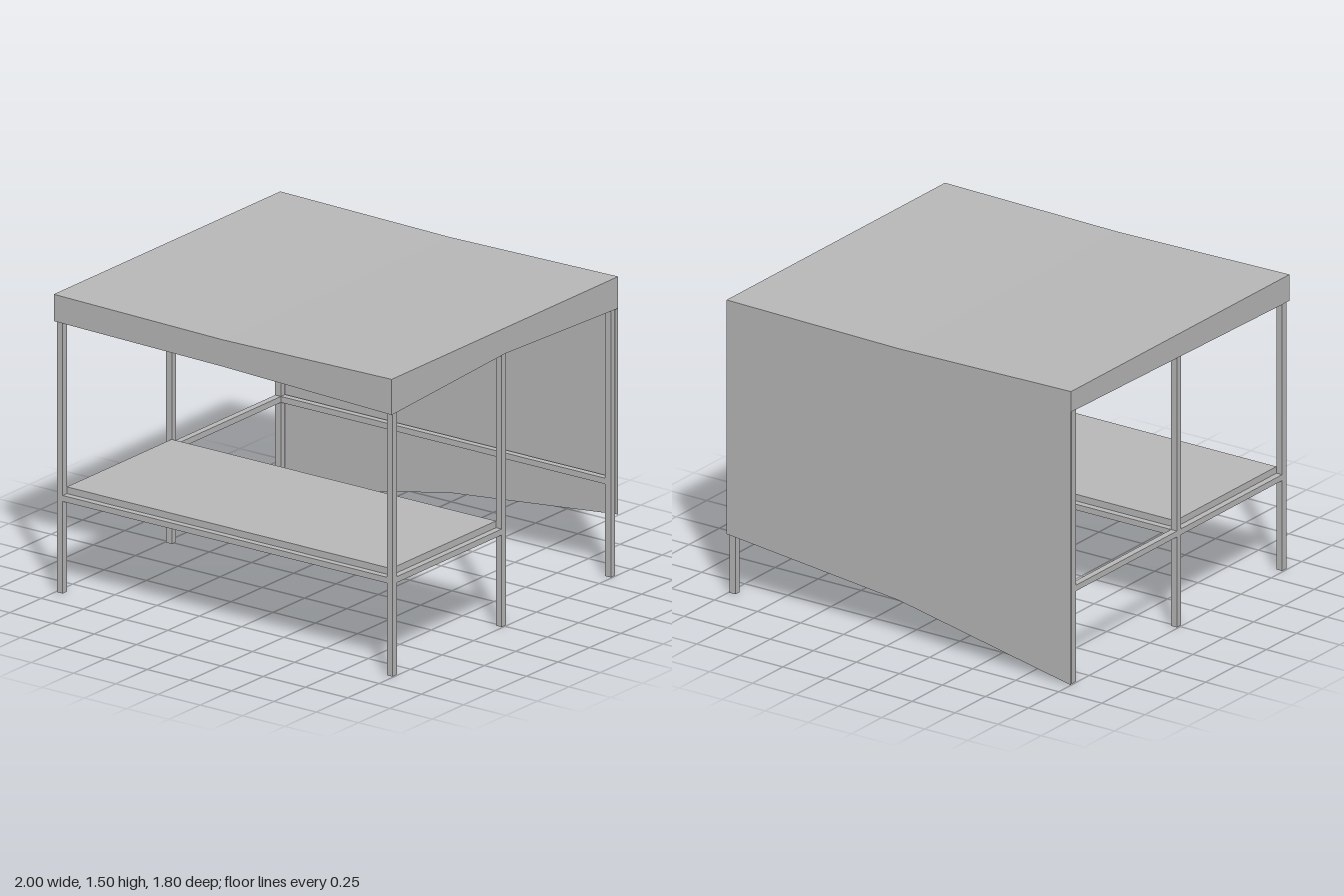
import * as THREE from 'three';

export function createModel() {
  const model = new THREE.Group();
  const grey = new THREE.MeshStandardMaterial({ color: 0xb8b8b8 });
  grey.name = 'light grey';
  const fabric = new THREE.MeshStandardMaterial({ color: 0xb8b8b8, side: THREE.DoubleSide });
  fabric.name = 'light grey fabric';

  const T = 0.034; // bar thickness
  const PX = 0.976, PZ = 0.867; // post centres
  const X = 1, Z = 0.9; // cover half sizes
  const TOP = 1.505, SAG = 1.49;

  function box(name, w, h, d, x, y, z) {
    const mesh = new THREE.Mesh(new THREE.BoxGeometry(w, h, d), grey);
    mesh.name = name;
    mesh.position.set(x, y, z);
    model.add(mesh);
  }

  // Open sheet between two edges with the same number of points
  function sheet(name, edgeA, edgeB) {
    const pos = [];
    for (let i = 0; i < edgeA.length - 1; i++) {
      const [a, b, c, d] = [edgeA[i], edgeA[i + 1], edgeB[i + 1], edgeB[i]];
      pos.push(...d, ...c, ...b, ...d, ...b, ...a);
    }
    const geo = new THREE.BufferGeometry();
    geo.setAttribute('position', new THREE.Float32BufferAttribute(pos, 3));
    geo.computeVertexNormals();
    const mesh = new THREE.Mesh(geo, fabric);
    mesh.name = name;
    model.add(mesh);
  }

  // Edges across x (left to right of the list: -x, middle, +x) and along z (+z to -z)
  const alongX = (z, ys) => ys.map((y, i) => [(i - 1) * X, y, z]);
  const alongZ = (x, ys) => ys.map((y, i) => [x, y, (1 - i) * Z]);
  const roofY = [TOP, SAG, TOP];
  const flatY = [TOP, TOP, TOP];

  // Roof cover, hanging edges and long back curtain
  sheet('roofCover', alongX(-Z, roofY), alongX(Z, roofY));
  sheet('frontValance', alongX(Z, roofY), alongX(Z, [1.37, 1.355, 1.325]));
  sheet('leftValance', alongZ(X, flatY), alongZ(X, [1.325, 1.375, 1.345]));
  sheet('rightValance', alongZ(-X, flatY).reverse(), alongZ(-X, [1.37, 1.385, 1.4]).reverse());
  sheet('backCurtain', alongX(-Z, roofY).reverse(), alongX(-Z, [0, 0.2, 0.305]).reverse());

  // Posts and cross bars
  const postTop = 1.485, lowY = 0.479, highY = postTop - T / 2;
  for (const z of [-PZ, 0, PZ]) {
    for (const x of [-PX, PX]) box('post', T, postTop, T, x, postTop / 2, z);
    box('lowerCrossBar', 2 * PX - T, 0.03, T, 0, lowY, z);
    box('upperCrossBar', 2 * PX - T, T, T, 0, highY, z);
  }

  // Side bars; the rear left bay stays open at the bottom as the entrance
  for (const x of [-PX, PX]) {
    for (const z of [-PZ / 2, PZ / 2]) {
      box('upperSideBar', T, T, PZ - T, x, highY, z);
      if (x < 0 || z > 0) box('lowerSideBar', T, 0.03, PZ - T, x, lowY, z);
    }
  }

  // Table top resting on the front bay
  box('tableTop', 1.92, 0.034, PZ - T, 0, 0.511, PZ / 2);

  return model;
}
